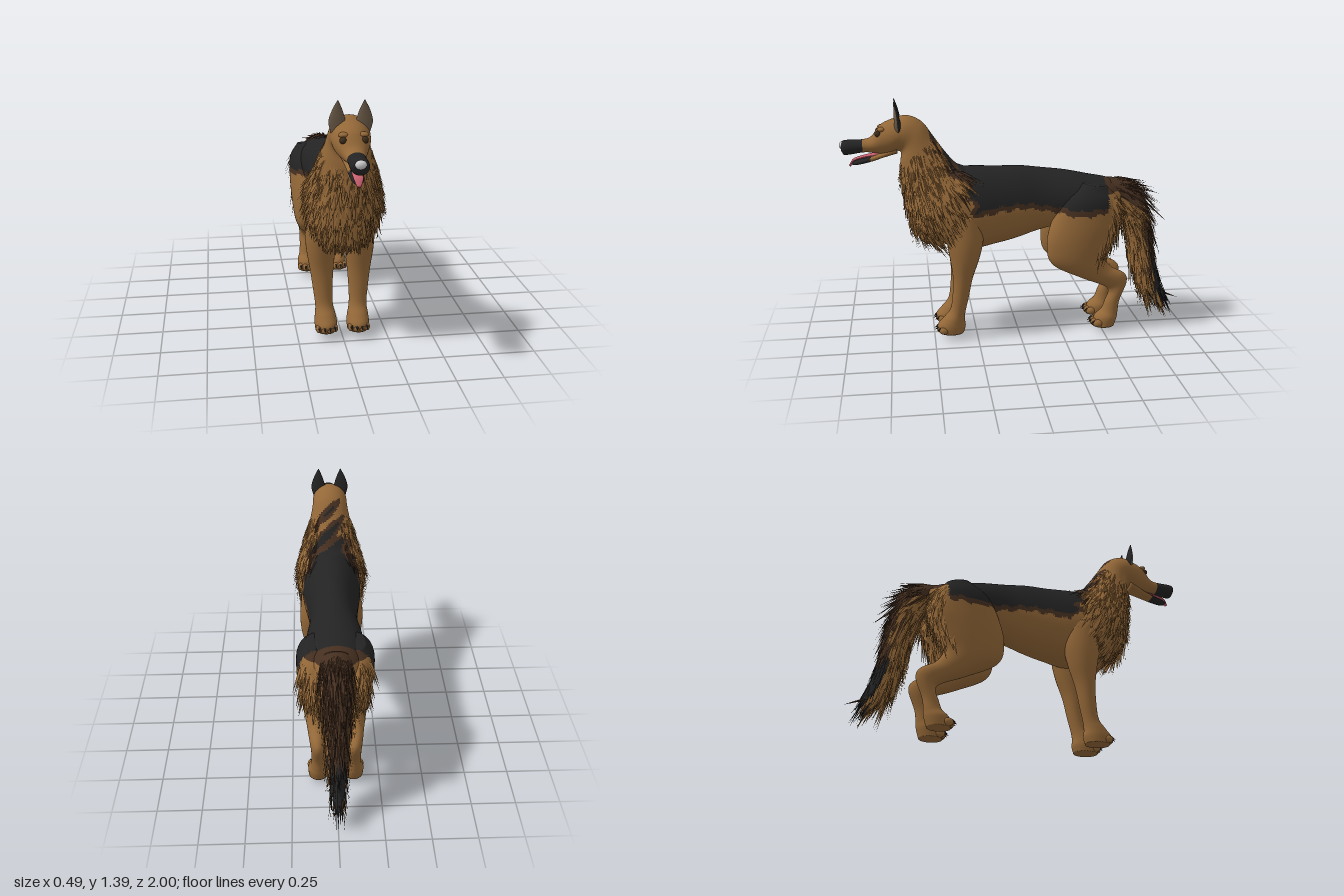
import * as THREE from 'three';

const mat = (name, color, side = THREE.FrontSide) => {
  const m = new THREE.MeshStandardMaterial({ color, side });
  m.name = name;
  return m;
};
const TAN = 0, BLACK = 1, BROWN = 2, EAR = 3, PINK = 4;

// Seeded random numbers
let seed = 7;
const rnd = () => {
  seed = (seed * 16807) % 2147483647;
  return seed / 2147483647;
};

// Surface through cross-sections [zA, yA, zB, yB, x, halfWidth];
// A and B are opposite ends of each oval ring.
function surface(sections, side = 1) {
  const curve = f => new THREE.CatmullRomCurve3(sections.map(f), false, 'catmullrom', 0.5);
  const a = curve(s => new THREE.Vector3(0, s[1], s[0]));
  const b = curve(s => new THREE.Vector3(0, s[3], s[2]));
  const c = curve(s => new THREE.Vector3(s[4] * side, s[5], 0));
  return (u, t) => {
    const A = a.getPoint(u), B = b.getPoint(u), C = c.getPoint(u);
    const p = A.clone().add(B).multiplyScalar(0.5);
    p.addScaledVector(A.sub(B), Math.cos(t) / 2);
    p.x = C.x + C.y * Math.sin(t);
    return p;
  };
}

// Closed skin over a surface, with each face coloured by a rule
function skin(name, surf, mats, colour, nu = 60, nt = 32) {
  const pos = [], buckets = mats.map(() => []), pts = [];
  const add = p => { pts.push(p); pos.push(p.x, p.y, p.z); };
  for (let i = 0; i <= nu; i++)
    for (let j = 0; j < nt; j++) add(surf(i / nu, j / nt * Math.PI * 2));
  for (const u of [0, 1]) add(surf(u, 0).add(surf(u, Math.PI)).multiplyScalar(0.5));
  const face = (i, j, k, t) => {
    const m = pts[i].clone().add(pts[j]).add(pts[k]).divideScalar(3);
    buckets[colour(m, t)].push(i, j, k);
  };
  const top = (nu + 1) * nt, end = top + 1;
  for (let j = 0; j < nt; j++) {
    const n = (j + 1) % nt, t = (j + 0.5) / nt * Math.PI * 2;
    for (let i = 0; i < nu; i++) {
      const p = i * nt + j, q = i * nt + n;
      face(p, q, p + nt, t);
      face(q, q + nt, p + nt, t);
    }
    face(top, n, j, t);
    face(end, nu * nt + j, nu * nt + n, t);
  }
  const g = new THREE.BufferGeometry();
  g.setAttribute('position', new THREE.Float32BufferAttribute(pos, 3));
  g.setIndex(buckets.flat());
  let start = 0;
  buckets.forEach((b, i) => { if (b.length) g.addGroup(start, b.length, i); start += b.length; });
  g.computeVertexNormals();
  const mesh = new THREE.Mesh(g, mats);
  mesh.name = name;
  return mesh;
}

// Pointed, folded locks of hair lying along a surface
function fur(name, surf, mats, colour, { count, u0, u1, t0, t1, len, width, lift }) {
  const buckets = mats.map(() => []);
  for (let i = 0; i < count; i++) {
    const u = u0 + (u1 - u0) * rnd(), t = t0 + (t1 - t0) * rnd();
    const p = surf(u, t);
    const along = surf(Math.min(u + 0.01, 1), t).sub(surf(Math.min(u + 0.01, 1) - 0.01, t)).normalize();
    const across = surf(u, t + 0.02).sub(p).normalize();
    const out = across.clone().cross(along).normalize();
    const l = len * (0.6 + 0.8 * rnd()), w = width * (0.6 + 0.8 * rnd());
    const tip = p.clone().addScaledVector(along, l).addScaledVector(out, l * lift * (0.4 + rnd()))
      .addScaledVector(across, l * 0.3 * (rnd() - 0.5));
    tip.y -= l * 0.15;
    const ridge = p.clone().addScaledVector(out, 0.006).addScaledVector(along, l * 0.2);
    const L = p.clone().addScaledVector(across, -w), R = p.clone().addScaledVector(across, w);
    for (const v of [L, ridge, tip, ridge, R, tip]) buckets[colour(p, t)].push(v.x, v.y, v.z);
  }
  const g = new THREE.BufferGeometry();
  g.setAttribute('position', new THREE.Float32BufferAttribute(buckets.flat(), 3));
  let start = 0;
  buckets.forEach((b, i) => { if (b.length) g.addGroup(start, b.length / 3, i); start += b.length / 3; });
  g.computeVertexNormals();
  const mesh = new THREE.Mesh(g, mats);
  mesh.name = name;
  return mesh;
}

// Coat pattern: black saddle with a brown rim, brown rump, tan elsewhere
function coat(p) {
  const edge = 0.755 + 0.02 * Math.cos(p.z * 9) + 0.006 * Math.sin(p.z * 70);
  const front = 0.24 + (p.y - 0.75) * 0.55 + 0.025 * Math.sin(p.y * 60 + p.x * 45);
  if (p.z > -0.5 && p.z < front && p.y > edge) return BLACK;
  if (p.z > -0.5 && p.z < front + 0.03 && p.y > edge - 0.03) return BROWN;
  if (p.z <= -0.5 && p.y > 0.82) return BROWN;
  return TAN;
}
const headCoat = p => (p.z > 0.87 ? BLACK : coat(p));
const tailCoat = (p, t) => {
  if (Math.cos(t + 0.3 * Math.sin(p.y * 40)) < 0.35 && p.y < 0.8) return TAN;
  return p.y < 0.42 ? BLACK : BROWN;
};

const TORSO = [
  [0.50, 0.90, 0.58, 0.64, 0, 0.14], [0.40, 0.965, 0.47, 0.54, 0, 0.18], [0.28, 0.975, 0.28, 0.49, 0, 0.175],
  [0.12, 0.97, 0.12, 0.515, 0, 0.155], [0, 0.97, 0, 0.545, 0, 0.142], [-0.13, 0.955, -0.12, 0.585, 0, 0.135],
  [-0.28, 0.935, -0.28, 0.62, 0, 0.155], [-0.42, 0.905, -0.42, 0.62, 0, 0.17], [-0.52, 0.885, -0.52, 0.62, 0, 0.15],
  [-0.60, 0.85, -0.57, 0.66, 0, 0.10]];
const HEAD_NECK = [
  [0.99, 1.12, 0.985, 1.075, 0, 0.03], [0.97, 1.14, 0.965, 1.058, 0, 0.046], [0.87, 1.143, 0.87, 1.07, 0, 0.047],
  [0.82, 1.16, 0.82, 1.068, 0, 0.056], [0.77, 1.222, 0.76, 1.06, 0, 0.078], [0.70, 1.255, 0.71, 1.065, 0, 0.096],
  [0.62, 1.272, 0.675, 1.075, 0, 0.102], [0.54, 1.235, 0.66, 1.06, 0, 0.106], [0.48, 1.155, 0.665, 1.0, 0, 0.122],
  [0.42, 1.07, 0.66, 0.89, 0, 0.15], [0.355, 0.995, 0.64, 0.76, 0, 0.182], [0.28, 0.95, 0.595, 0.61, 0, 0.2],
  [0.23, 0.80, 0.48, 0.52, 0, 0.18]];
const JAW = [
  [0.935, 1.015, 0.93, 1.0, 0, 0.018], [0.90, 1.028, 0.90, 1.0, 0, 0.03], [0.84, 1.045, 0.83, 1.015, 0, 0.036],
  [0.76, 1.075, 0.75, 1.04, 0, 0.045], [0.68, 1.12, 0.68, 1.06, 0, 0.06]];
const TONGUE = [
  [0.95, 1.0, 0.94, 0.99, 0, 0.01], [0.92, 1.037, 0.92, 1.022, 0, 0.024],
  [0.85, 1.058, 0.85, 1.04, 0, 0.025], [0.76, 1.075, 0.76, 1.05, 0, 0.02]];
const EAR_RINGS = [
  [0.688, 1.357, 0.692, 1.357, 0.066, 0.002], [0.672, 1.31, 0.692, 1.31, 0.068, 0.025],
  [0.658, 1.25, 0.692, 1.25, 0.068, 0.042], [0.65, 1.19, 0.69, 1.19, 0.062, 0.035]];
const FORELEG = [
  [0.22, 0.72, 0.42, 0.72, 0.10, 0.08], [0.21, 0.58, 0.42, 0.56, 0.105, 0.088], [0.235, 0.46, 0.405, 0.46, 0.107, 0.082],
  [0.275, 0.34, 0.39, 0.34, 0.104, 0.066], [0.30, 0.22, 0.395, 0.22, 0.10, 0.054], [0.32, 0.13, 0.41, 0.14, 0.095, 0.05],
  [0.325, 0.08, 0.45, 0.09, 0.092, 0.058], [0.32, 0.04, 0.485, 0.045, 0.09, 0.063], [0.33, 0, 0.47, 0, 0.09, 0.058]];
const HINDLEG = [
  [-0.50, 0.86, -0.36, 0.88, 0.11, 0.05], [-0.57, 0.78, -0.25, 0.79, 0.11, 0.097], [-0.59, 0.66, -0.185, 0.66, 0.11, 0.102],
  [-0.54, 0.54, -0.155, 0.52, 0.115, 0.09], [-0.50, 0.44, -0.19, 0.40, 0.115, 0.075], [-0.54, 0.37, -0.36, 0.31, 0.11, 0.055],
  [-0.62, 0.325, -0.50, 0.25, 0.105, 0.043], [-0.64, 0.27, -0.53, 0.21, 0.10, 0.04], [-0.60, 0.16, -0.51, 0.15, 0.10, 0.04],
  [-0.59, 0.09, -0.49, 0.10, 0.10, 0.045], [-0.585, 0.05, -0.45, 0.06, 0.10, 0.058], [-0.57, 0, -0.44, 0, 0.10, 0.056]];
const TAIL = [
  [-0.54, 0.885, -0.52, 0.78, 0, 0.08], [-0.64, 0.865, -0.58, 0.72, 0, 0.085], [-0.73, 0.78, -0.62, 0.64, 0, 0.082],
  [-0.785, 0.62, -0.66, 0.52, 0, 0.065], [-0.82, 0.42, -0.70, 0.35, 0, 0.05], [-0.86, 0.25, -0.76, 0.20, 0, 0.033],
  [-0.91, 0.12, -0.86, 0.11, 0, 0.01]];

export function createModel() {
  seed = 7;
  const dog = new THREE.Group();
  dog.name = 'dog';
  const D = THREE.DoubleSide;
  const mats = [mat('tanFur', 0x946838, D), mat('blackFur', 0x232323, D), mat('brownFur', 0x452f20, D),
    mat('earInside', 0x6b5a48), mat('tonguePink', 0xc9606f)];
  const noseMat = mat('noseGrey', 0xcfcfcf), eyeMat = mat('eyeBrown', 0x3a2c1a);
  const ball = (name, m, r, x, y, z, sx = 1, sy = 1, sz = 1) => {
    const b = new THREE.Mesh(new THREE.SphereGeometry(r, 16, 12), m);
    b.name = name;
    b.position.set(x, y, z);
    b.scale.set(sx, sy, sz);
    dog.add(b);
  };

  // Body, head and mouth
  const head = surface(HEAD_NECK), tail = surface(TAIL);
  dog.add(skin('torso', surface(TORSO), mats, coat, 150, 80));
  dog.add(skin('headAndNeck', head, mats, headCoat, 120, 64));
  dog.add(skin('lowerJaw', surface(JAW), mats, p => (p.z > 0.83 ? BLACK : TAN), 24, 20));
  dog.add(skin('tongue', surface(TONGUE), mats, () => PINK, 16, 16));
  dog.add(skin('tail', tail, mats, tailCoat, 60, 32));
  ball('nose', noseMat, 0.03, 0, 1.112, 0.98, 1, 0.75, 0.65);

  // Neck ruff, chest fur and tail hair
  const ruff = { t0: 0.45, t1: Math.PI * 2 - 0.45, lift: 0.2 };
  dog.add(fur('neckFur', head, mats, coat, { ...ruff, count: 500, u0: 0.66, u1: 0.84, len: 0.08, width: 0.011 }));
  dog.add(fur('chestFur', head, mats, coat, { ...ruff, count: 800, u0: 0.8, u1: 0.99, len: 0.1, width: 0.013 }));
  dog.add(fur('tailHair', tail, mats, tailCoat,
    { count: 800, u0: 0.05, u1: 0.88, t0: 0, t1: Math.PI * 2, len: 0.16, width: 0.011, lift: 0.16 }));
  dog.add(fur('tailTip', tail, mats, () => BLACK,
    { count: 40, u0: 0.86, u1: 0.99, t0: 0, t1: Math.PI * 2, len: 0.08, width: 0.008, lift: 0.3 }));
  const wisp = new THREE.Mesh(new THREE.ConeGeometry(0.01, 0.15, 6), mats[BROWN]);
  wisp.name = 'tailWisp';
  wisp.position.set(-0.02, 0.13, -0.93);
  wisp.rotation.x = -1.95;
  dog.add(wisp);

  for (const s of [1, -1]) {
    const side = s > 0 ? 'left' : 'right';
    // Ears and eyes
    dog.add(skin(side + 'Ear', surface(EAR_RINGS, s), mats, (p, t) => (Math.cos(t) > -0.05 ? BLACK : EAR), 20, 24));
    ball(side + 'Eye', eyeMat, 0.018, s * 0.053, 1.18, 0.782);
    ball(side + 'Brow', mats[TAN], 0.022, s * 0.05, 1.204, 0.765, 1.2, 0.6, 1);

    // Legs and the long hair behind the thighs
    const hind = surface(HINDLEG, s);
    dog.add(skin(side + 'Foreleg', surface(FORELEG, s), mats, () => TAN, 60, 28));
    dog.add(skin(side + 'HindLeg', hind, mats, coat, 100, 48));
    dog.add(fur(side + 'ThighFur', hind, mats, coat,
      { count: 170, u0: 0.06, u1: 0.3, t0: -0.9, t1: 0.9, len: 0.11, width: 0.012, lift: 0.25 }));

    // Toes and claws
    for (const [x, z] of [[0.09, 0.455], [0.1, -0.455]])
      for (let i = 0; i < 4; i++) {
        const k = i - 1.5, tx = s * x + k * 0.029, tz = z - Math.abs(k) * 0.012;
        ball(side + 'Toe', mats[TAN], 0.021, tx, 0.026, tz + 0.01, 0.9, 1.1, 1.4);
        const claw = new THREE.Mesh(new THREE.ConeGeometry(0.008, 0.028, 8), mats[BLACK]);
        claw.name = side + 'Claw';
        claw.position.set(tx, 0.032, tz + 0.042);
        claw.rotation.x = 2;
        dog.add(claw);
      }
  }
  return dog;
}
